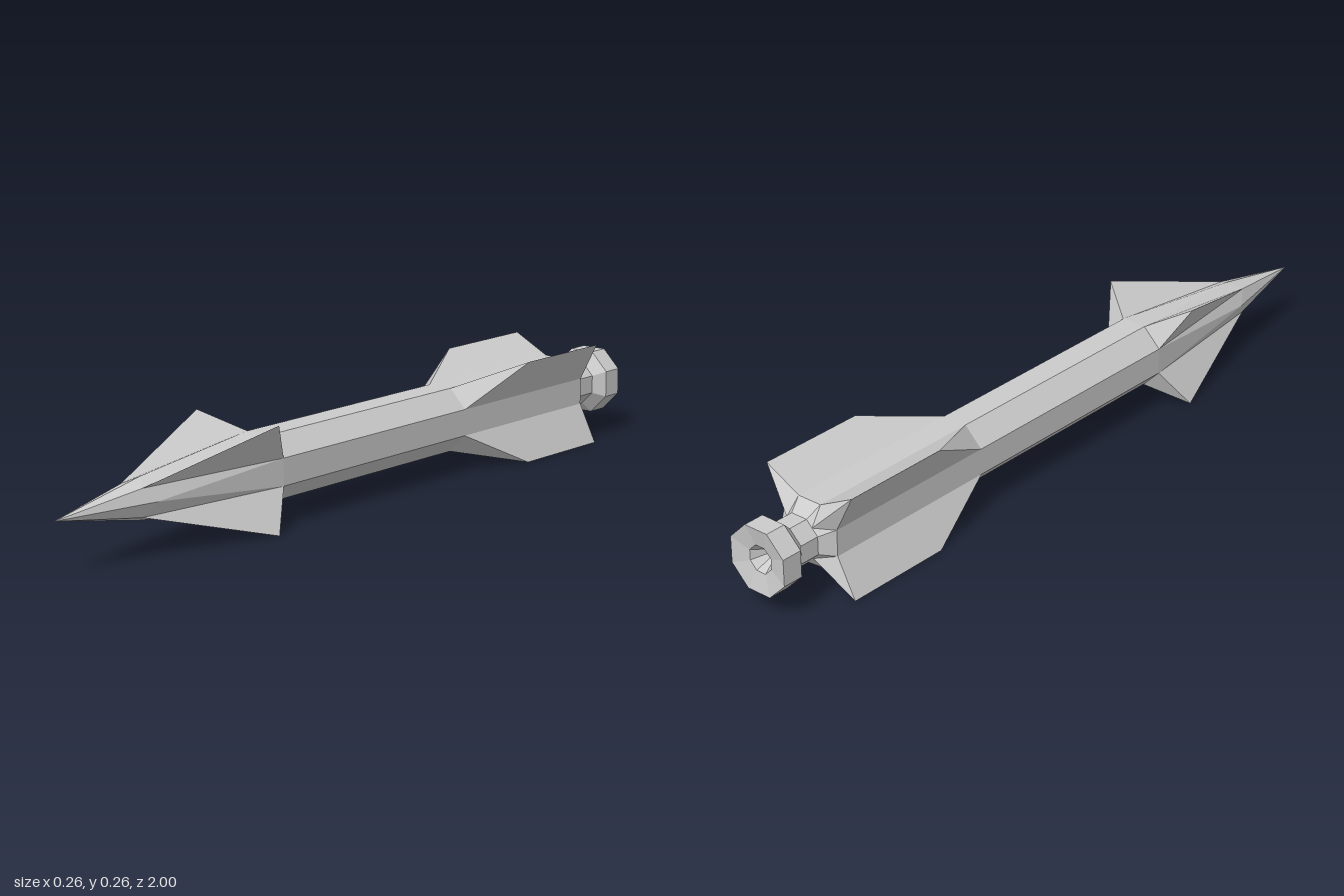
import * as THREE from 'three';

const mat = new THREE.MeshStandardMaterial({ color: 0xcccccc, flatShading: true });

// 16-point cross-section, four mirrored quarters: flat middle, flat corner, diagonal ridge, corner.
// Each argument is [half-extent across, offset along the flat, z].
function ring(flat, corner, ridge) {
  const quarter = [
    [flat[0], 0, flat[1]],
    [corner[0], corner[1], corner[2]],
    [ridge[0], ridge[0], ridge[1]],
    [corner[1], corner[0], corner[2]],
  ];
  const pts = [];
  for (let k = 0; k < 4; k++) {
    for (const [x, y, z] of quarter) {
      const p = [[x, y], [-y, x], [-x, -y], [y, -x]][k];
      pts.push(new THREE.Vector3(p[0], p[1], z));
    }
  }
  return pts;
}

// Octagon with optional diagonal fins reaching out to d
function octagon(a, z, d) {
  const s = a * 0.414;
  return ring([a, z], [a, s, z], [d ?? (a + s) / 2, z]);
}

// Skin consecutive rings, with the quad diagonals mirrored within each quarter
function loft(rings, name) {
  const pos = [];
  const tri = (a, b, c) => {
    const area = b.clone().sub(a).cross(c.clone().sub(a)).length();
    if (area > 1e-8) for (const p of [a, b, c]) pos.push(p.x, p.y, p.z);
  };
  for (let i = 0; i < rings.length - 1; i++) {
    for (let j = 0; j < 16; j++) {
      const n = (j + 1) % 16;
      const a = rings[i][j], b = rings[i][n], c = rings[i + 1][n], d = rings[i + 1][j];
      if (j % 4 < 2) { tri(a, b, d); tri(b, c, d); }
      else { tri(a, b, c); tri(a, c, d); }
    }
  }
  const geo = new THREE.BufferGeometry();
  geo.setAttribute('position', new THREE.Float32BufferAttribute(pos, 3));
  geo.computeVertexNormals();
  const mesh = new THREE.Mesh(geo, mat);
  mesh.name = name;
  return mesh;
}

export function createModel() {
  const group = new THREE.Group();
  group.name = 'missile';

  // Nozzle: hollow centre, rim, flared bell and neck
  group.add(loft([
    octagon(0, -0.93),
    octagon(0.033, -0.99),
    octagon(0.082, -1),
    octagon(0.082, -0.945),
    octagon(0.056, -0.918),
    octagon(0.056, -0.865),
  ], 'nozzle'));

  // Body with tail fins
  group.add(loft([
    octagon(0.056, -0.865),
    octagon(0.082, -0.83, 0.132),
    octagon(0.082, -0.54, 0.132),
    octagon(0.082, -0.34),
    octagon(0.082, 0.34),
  ], 'bodyAndTailFins'));

  // Barbed head: swept fins running into a pointed tip
  group.add(loft([
    octagon(0.082, 0.34),
    ring([0.082, 0.34], [0.082, 0.034, 0.34], [0.132, 0.41]),
    ring([0.052, 0.73], [0.034, 0.034, 0.76], [0.034, 0.76]),
    octagon(0, 1),
  ], 'barbedHead'));

  group.position.y = 0.132;
  return group;
}
